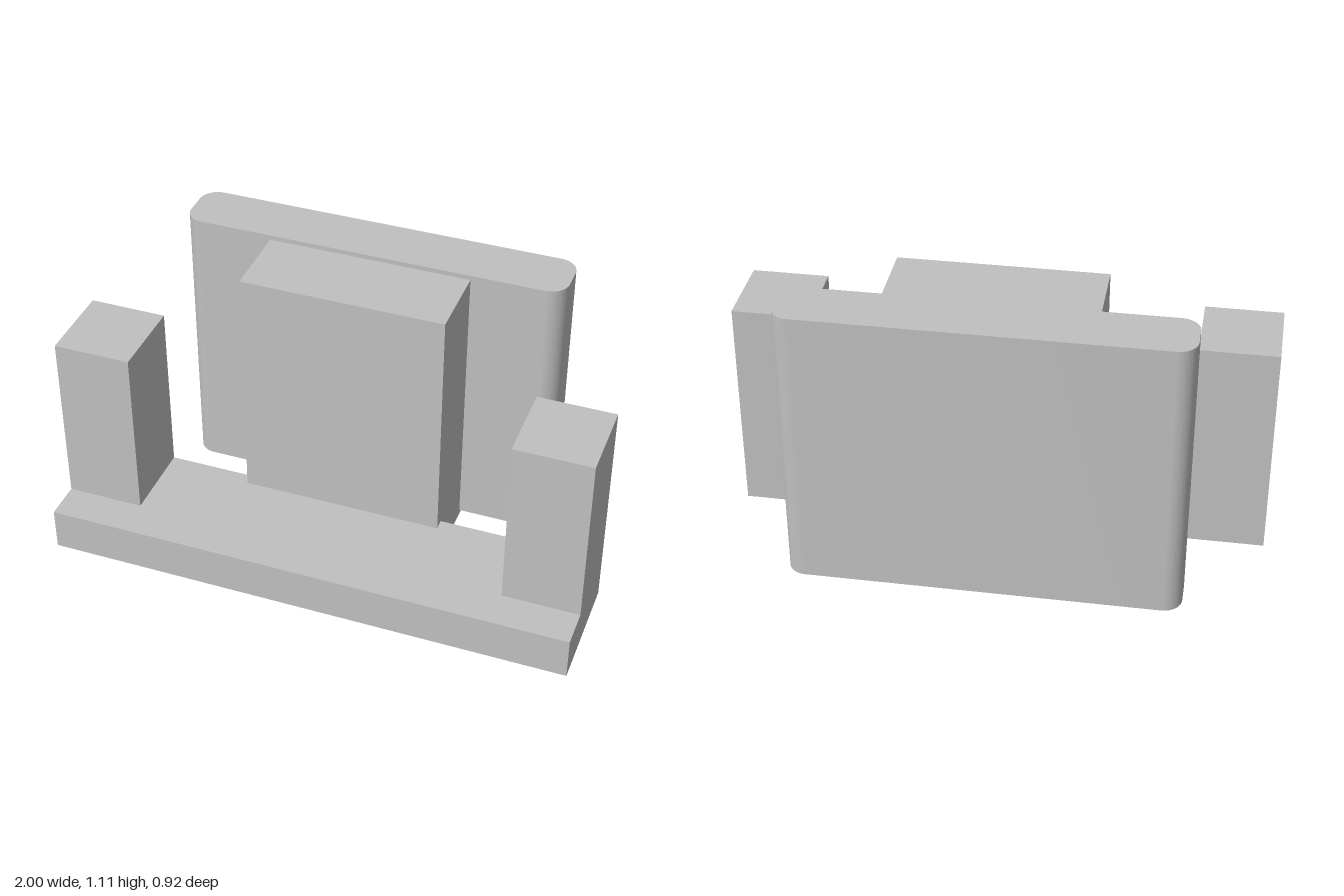
import * as THREE from 'three';
import { toCreasedNormals } from 'three/addons/utils/BufferGeometryUtils.js';

const grey = new THREE.MeshStandardMaterial({ color: 0xc0c0c0 });
grey.name = 'plain grey';

// Box given by its lower and upper limits on each axis
function block(name, [x0, x1], [y0, y1], [z0, z1]) {
  const mesh = new THREE.Mesh(new THREE.BoxGeometry(x1 - x0, y1 - y0, z1 - z0), grey);
  mesh.position.set((x0 + x1) / 2, (y0 + y1) / 2, (z0 + z1) / 2);
  mesh.name = name;
  return mesh;
}

// Upright slab whose four vertical edges are rounded
function roundedPanel(name, width, depth, height, radius) {
  const w = width / 2, d = depth / 2, r = radius;
  const shape = new THREE.Shape();
  shape.absarc(w - r, d - r, r, 0, Math.PI / 2);
  shape.absarc(-w + r, d - r, r, Math.PI / 2, Math.PI);
  shape.absarc(-w + r, -d + r, r, Math.PI, Math.PI * 1.5);
  shape.absarc(w - r, -d + r, r, Math.PI * 1.5, Math.PI * 2);
  shape.closePath();
  const extruded = new THREE.ExtrudeGeometry(shape, { depth: height, bevelEnabled: false, curveSegments: 12 });
  extruded.rotateX(-Math.PI / 2);
  const mesh = new THREE.Mesh(toCreasedNormals(extruded, 0.6), grey);
  mesh.name = name;
  return mesh;
}

export function createModel() {
  const model = new THREE.Group();
  model.name = 'bracket';

  // Long foot plate
  model.add(block('base', [-1, 1], [0, 0.165], [0.005, 0.46]));

  // Posts at both ends, flush with the back of the base
  model.add(block('leftPost', [0.71, 1], [0.165, 0.837], [0.005, 0.314]));
  model.add(block('rightPost', [-1, -0.71], [0.165, 0.837], [0.005, 0.314]));

  // Central block, running back into the panel
  model.add(block('centreBlock', [-0.382, 0.382], [0, 1.092], [-0.278, 0.049]));

  // Rear panel, just clear of the ground
  const panel = roundedPanel('backPanel', 1.45, 0.218, 1.09, 0.07);
  panel.position.set(0, 0.02, -0.351);
  model.add(panel);

  return model;
}
